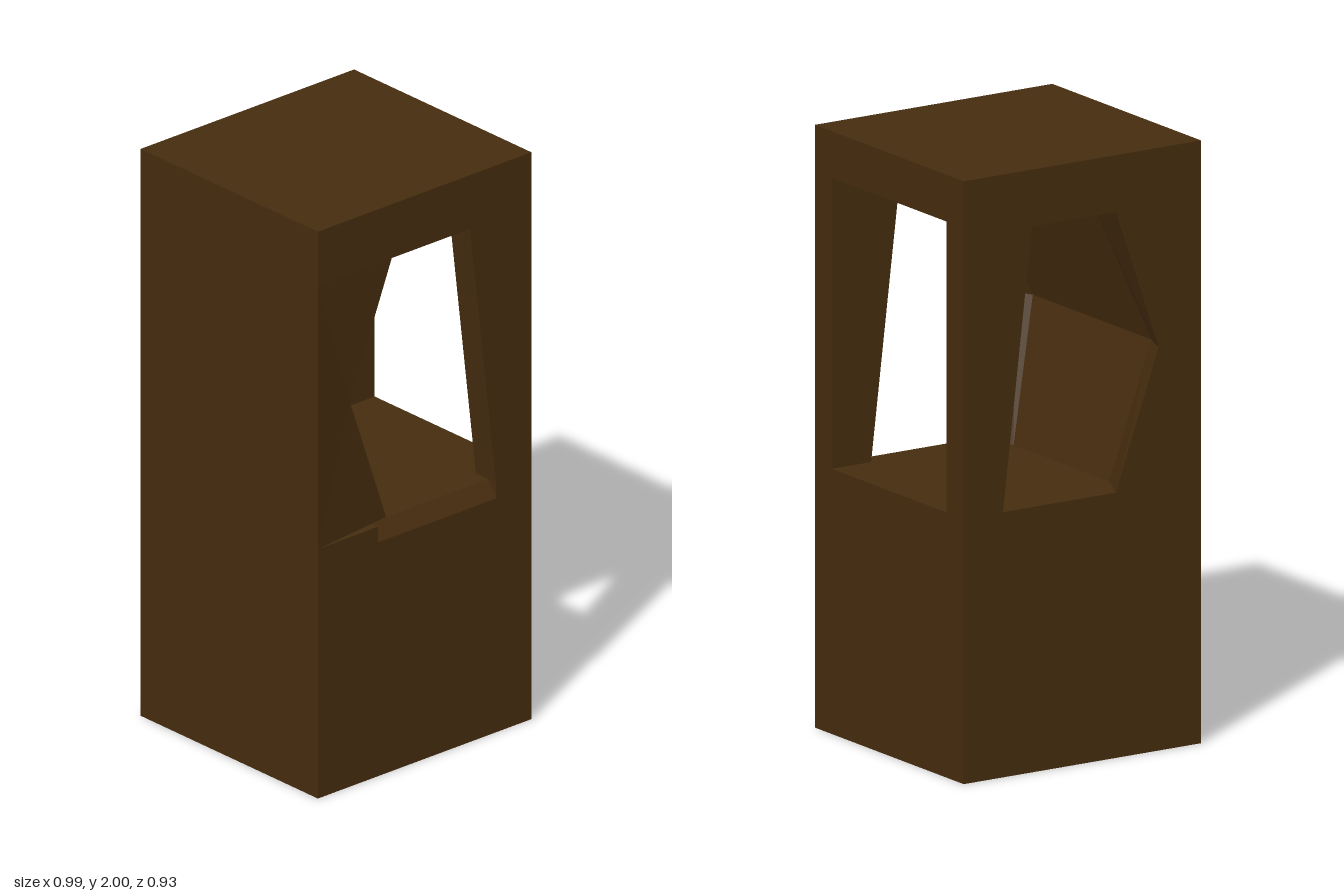
import * as THREE from 'three';

const X = 0.459, Z = 0.427;   // half width and half depth
const SILL = 0.88, CEIL = 1.81, TOP = 2;

export function createModel() {
  const model = new THREE.Group();
  const brown = new THREE.MeshStandardMaterial({ color: 0x452c0e });
  brown.name = 'darkBrown';

  const add = (name, geometry) => {
    const mesh = new THREE.Mesh(geometry, brown);
    mesh.name = name;
    model.add(mesh);
    return mesh;
  };

  // Outline in x,y extruded from z0 to z1
  const prism = (name, points, z0, z1) => {
    const shape = new THREE.Shape(points.map(([x, y]) => new THREE.Vector2(x, y)));
    const g = new THREE.ExtrudeGeometry(shape, { depth: z1 - z0, bevelEnabled: false });
    g.translate(0, 0, z0);
    return add(name, g);
  };

  // Outline in z,y extruded from x0 to x1
  const crossPrism = (name, points, x0, x1) => {
    const shape = new THREE.Shape(points.map(([z, y]) => new THREE.Vector2(-z, y)));
    const g = new THREE.ExtrudeGeometry(shape, { depth: x1 - x0, bevelEnabled: false });
    g.rotateY(Math.PI / 2);
    g.translate(x0, 0, 0);
    return add(name, g);
  };

  // Solid base, with a sloped sill below the front opening
  const full = [[-Z, 0], [Z, 0], [Z, SILL], [-Z, SILL]];
  const cut = [[-Z, 0], [Z, 0], [Z, 0.825], [Z - 0.04, SILL], [-Z, SILL]];
  crossPrism('baseRight', full, -X, -0.2);
  crossPrism('baseMiddle', cut, -0.2, 0.307);
  crossPrism('baseLeft', full, 0.307, X);

  // Roof, its underside rising towards the side opening
  prism('roof', [[-X, CEIL], [0.3, CEIL], [X, 1.845], [X, TOP], [-X, TOP]], -Z, Z);

  // Leaning corner pillars, front and back
  const pillar = [[0.307, SILL], [X, SILL], [X, 1.845], [0.3, CEIL], [0.195, CEIL]];
  prism('frontPillar', pillar, 0.33, Z);
  prism('backPillar', pillar, -Z, -0.328);

  // Closed side wall: lofted rings whose inner side bends outward and flares
  const ends = [-0.13, -0.295, -0.13], inside = [-0.19, -0.325, -0.17];
  const ring = (xs, outerZ, zs) => [
    [-X, SILL, outerZ], [xs[0], SILL, zs[0]], [xs[1], 1.34, zs[1]],
    [xs[2], CEIL, zs[2]], [-X, CEIL, outerZ],
  ];
  const rings = [
    ring(ends, Z, [Z - 0.04, Z - 0.03, Z - 0.01]),
    ring(inside, 0.25, [0.25, 0.34, 0.2]),
    ring(inside, -0.25, [-0.3, -0.34, -0.22]),
    ring(ends, -Z, [-Z, -Z, -Z]),
  ];
  const pos = [];
  const tri = (...corners) => corners.forEach((c) => pos.push(...c));
  for (let s = 0; s < rings.length - 1; s++) {
    for (let i = 0; i < 5; i++) {
      const j = (i + 1) % 5, p = rings[s], q = rings[s + 1];
      tri(p[i], q[i], p[j]);
      tri(p[j], q[i], q[j]);
    }
  }
  // End faces fan out from the bend
  const front = rings[0], back = rings[3];
  for (const [i, j] of [[3, 4], [4, 0], [0, 1]]) {
    tri(front[2], front[i], front[j]);
    tri(back[2], back[j], back[i]);
  }
  const wall = new THREE.BufferGeometry();
  wall.setAttribute('position', new THREE.Float32BufferAttribute(pos, 3));
  wall.computeVertexNormals();
  add('sideWall', wall);

  // The whole block stands slightly turned
  model.rotation.y = -0.0873;
  const group = new THREE.Group();
  group.name = 'booth';
  model.name = 'boothBody';
  group.add(model);
  return group;
}
